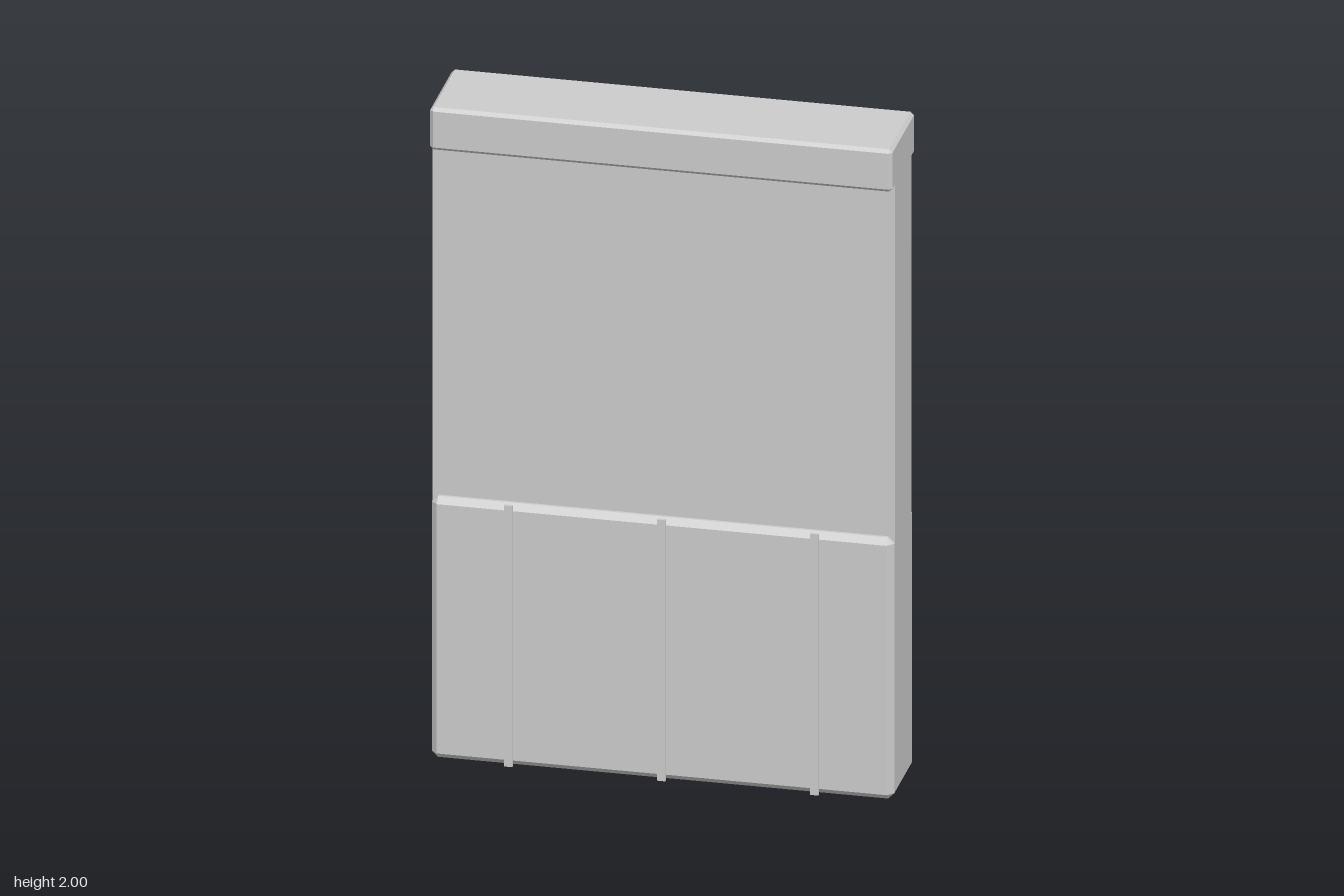
import * as THREE from 'three';
import { ConvexGeometry } from 'three/addons/geometries/ConvexGeometry.js';

// Box with every edge and corner cut by a flat bevel
function bevelledBox(width, height, depth, bevel) {
  const half = [width / 2, height / 2, depth / 2];
  const points = [];
  for (const sx of [-1, 1]) for (const sy of [-1, 1]) for (const sz of [-1, 1]) {
    const signs = [sx, sy, sz];
    for (let axis = 0; axis < 3; axis++) {
      const p = half.map((h, i) => signs[i] * (i === axis ? h : h - bevel));
      points.push(new THREE.Vector3(...p));
    }
  }
  return new ConvexGeometry(points);
}

export function createModel() {
  const group = new THREE.Group();
  const stone = new THREE.MeshStandardMaterial({ color: 0xcccccc });
  stone.name = 'light grey stone';

  const add = (name, geometry, x, y, z) => {
    const mesh = new THREE.Mesh(geometry, stone);
    mesh.name = name;
    mesh.position.set(x, y, z);
    group.add(mesh);
  };

  // Thick lower panel, plain wall above it, and an overhanging cap
  add('lowerPanel', bevelledBox(1.33, 0.8, 0.26, 0.018), 0, 0.4, 0);
  add('upperWall', new THREE.BoxGeometry(1.33, 1.1, 0.207), 0, 1.33, 0);
  add('cap', bevelledBox(1.33, 0.13, 0.287, 0.01), 0, 1.935, 0);

  // Thin upright battens on the front of the lower panel
  for (const x of [-0.44, 0, 0.44]) {
    add('batten', new THREE.BoxGeometry(0.024, 0.8, 0.009), x, 0.4, 0.1315);
  }
  return group;
}
